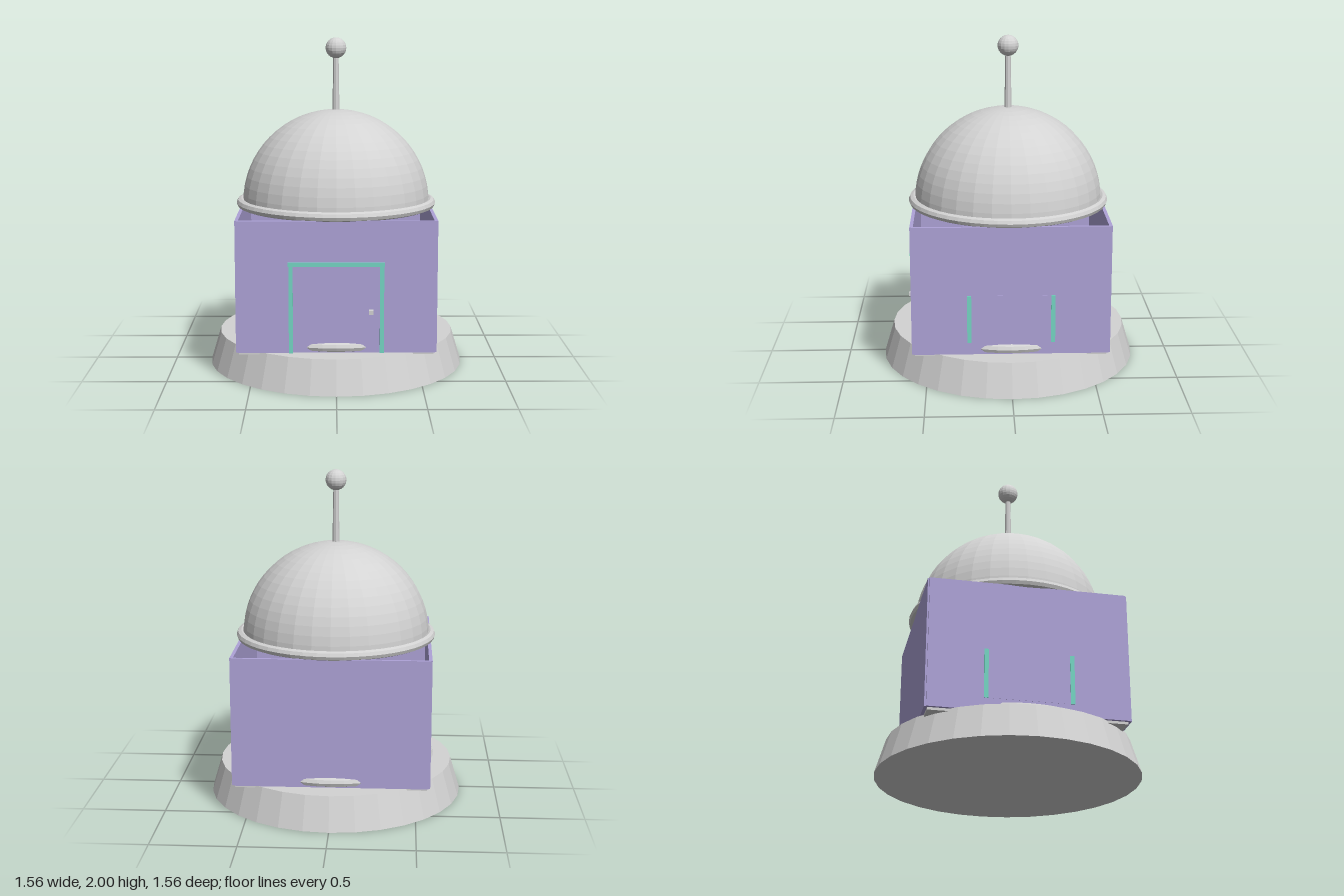
import * as THREE from 'three';

export function createModel() {
  const model = new THREE.Group();
  model.name = 'domedHut';

  const material = (name, color, side = THREE.FrontSide) => {
    const m = new THREE.MeshStandardMaterial({ color, side, flatShading: true });
    m.name = name;
    return m;
  };
  const grey = material('light grey', 0xd3d3d3, THREE.DoubleSide);
  const purple = material('lavender', 0xaea3d8);
  const teal = material('teal', 0x76d7c4);

  const add = (parent, name, geometry, mat, x = 0, y = 0, z = 0) => {
    const mesh = new THREE.Mesh(geometry, mat);
    mesh.name = name;
    mesh.position.set(x, y, z);
    parent.add(mesh);
    return mesh;
  };
  const box = (w, h, d) => new THREE.BoxGeometry(w, h, d);

  // Round tapered base and the square floor whose corners overhang it
  add(model, 'base', new THREE.CylinderGeometry(0.72, 0.78, 0.2, 32), grey, 0, 0.1, 0);
  add(model, 'floor', box(1.13, 0.018, 1.13), grey, 0, 0.194, 0);

  // Four thin walls, open above, with a small notch at each corner
  const sides = ['front', 'left', 'back', 'right'].map((side, i) => {
    const group = new THREE.Group();
    group.name = side + 'Side';
    group.rotation.y = i * Math.PI / 2;
    add(group, side + 'Wall', box(1.146, 0.775, 0.02), purple, 0, 0.5875, 0.573);
    model.add(group);
    return group;
  });

  // Door with frame and knob
  const front = sides[0];
  add(front, 'door', box(0.5, 0.51, 0.004), purple, 0, 0.456, 0.583);
  for (const s of [-1, 1]) {
    add(front, 'doorJamb', box(0.024, 0.51, 0.02), teal, s * 0.263, 0.456, 0.587);
  }
  add(front, 'doorLintel', box(0.558, 0.024, 0.022), teal, 0, 0.723, 0.588);
  add(front, 'doorKnob', box(0.026, 0.024, 0.028), grey, 0.2, 0.445, 0.597);

  // Side windows: a flush pane between two upright strips
  for (const group of [sides[1], sides[3]]) {
    add(group, 'windowPane', box(0.47, 0.29, 0.004), purple, 0, 0.417, 0.582);
    for (const s of [-1, 1]) {
      add(group, 'windowStrip', box(0.025, 0.29, 0.008), teal, s * 0.245, 0.417, 0.584);
    }
  }

  // Rings at the foot and the head of the walls
  for (const [name, y] of [['lowerRing', 0.232], ['upperRing', 0.998]]) {
    const ring = new THREE.TorusGeometry(0.583, 0.028, 8, 48);
    ring.rotateX(Math.PI / 2);
    add(model, name, ring, grey, 0, y, 0);
  }

  // Dome, mast and ball
  const dome = new THREE.SphereGeometry(0.572, 32, 16, 0, Math.PI * 2, 0, Math.PI / 2);
  add(model, 'dome', dome, grey, 0, 0.993, 0);
  add(model, 'mast', new THREE.CylinderGeometry(0.016, 0.022, 0.36, 8), grey, 0, 1.72, 0);
  add(model, 'mastBall', new THREE.SphereGeometry(0.063, 16, 12), grey, 0, 1.937, 0);

  return model;
}
